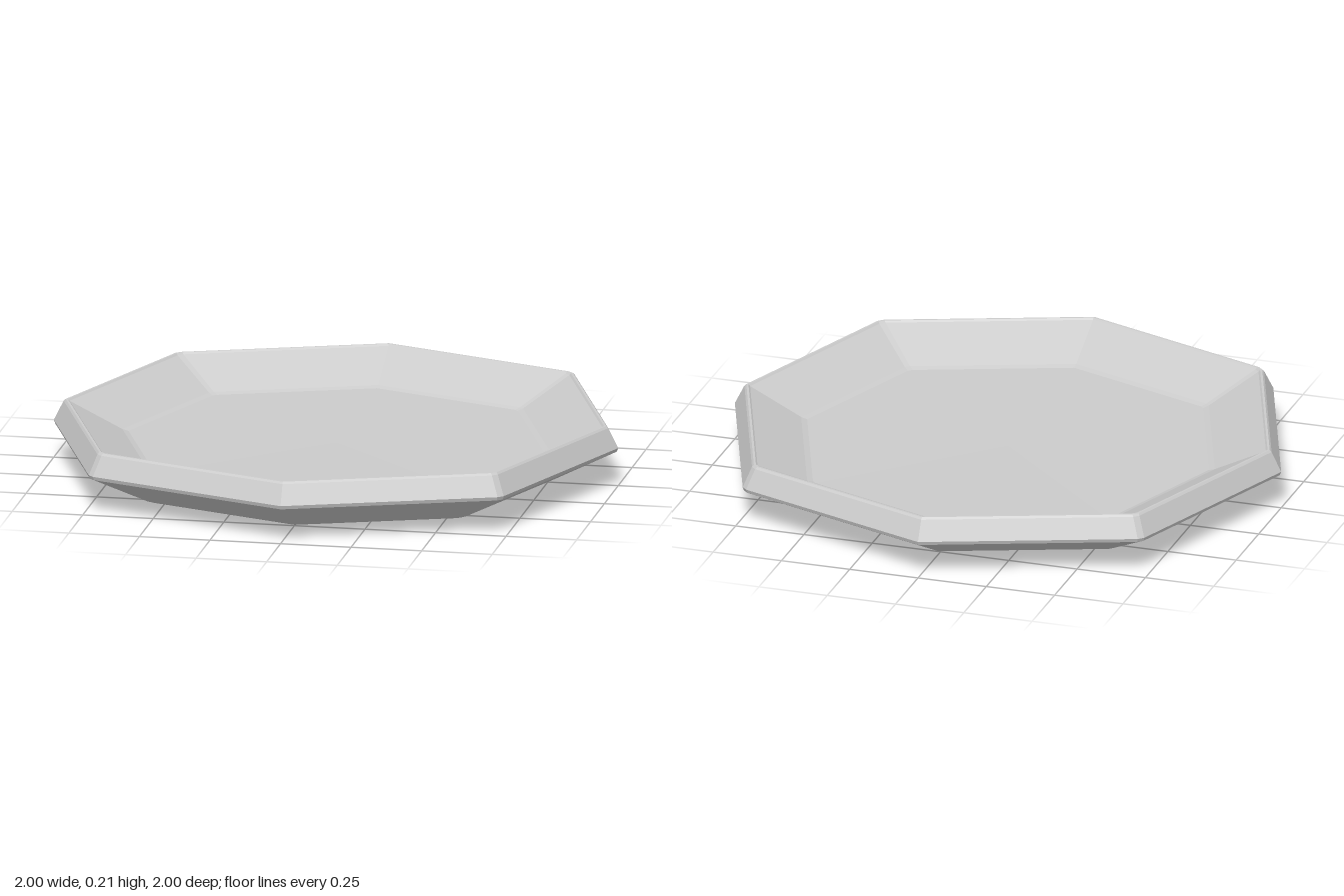
import * as THREE from 'three';

// Octagon outline at unit size: points on the axes, small chamfers on the diagonals
function outline() {
  const quarter = [[1, 0], [0.735, 0.717], [0.717, 0.735]];
  const pts = [];
  for (let q = 0; q < 4; q++) {
    const c = Math.round(Math.cos(q * Math.PI / 2)), s = Math.round(Math.sin(q * Math.PI / 2));
    for (const [x, z] of quarter) pts.push([x * c - z * s, x * s + z * c]);
  }
  return pts;
}

// Closed skin through scaled copies of the outline; a radius of 0 closes an end
function loft(profile) {
  const ring = outline(), n = ring.length, pos = [], idx = [];
  for (const [r, y] of profile) for (const [x, z] of ring) pos.push(x * r, y, z * r);
  for (let i = 0; i < profile.length - 1; i++) {
    for (let j = 0; j < n; j++) {
      const a = i * n + j, b = i * n + (j + 1) % n, c = a + n, d = b + n;
      if (profile[i][0] > 0) idx.push(a, c, b);
      if (profile[i + 1][0] > 0) idx.push(b, c, d);
    }
  }
  const geo = new THREE.BufferGeometry();
  geo.setAttribute('position', new THREE.Float32BufferAttribute(pos, 3));
  geo.setIndex(idx);
  const flat = geo.toNonIndexed();
  flat.computeVertexNormals();
  return flat;
}

export function createModel() {
  const group = new THREE.Group();
  group.name = 'plate';
  const material = new THREE.MeshStandardMaterial({ color: 0xcccccc, flatShading: true });

  // Radius and height, from the centre of the underside over the rim to the centre of the floor
  const profile = [
    [0, 0], [0.75, 0.003], [0.775, 0.012],   // underside and its softened edge
    [0.995, 0.122], [1, 0.135],              // sloping underside wall
    [0.965, 0.205], [0.958, 0.212],          // outer rim band
    [0.95, 0.212], [0.944, 0.206],           // narrow lip
    [0.757, 0.114], [0.735, 0.108],          // inner wall and floor edge
    [0, 0.105],                              // floor
  ];
  const dish = new THREE.Mesh(loft(profile), material);
  dish.name = 'dish';
  group.add(dish);
  return group;
}
